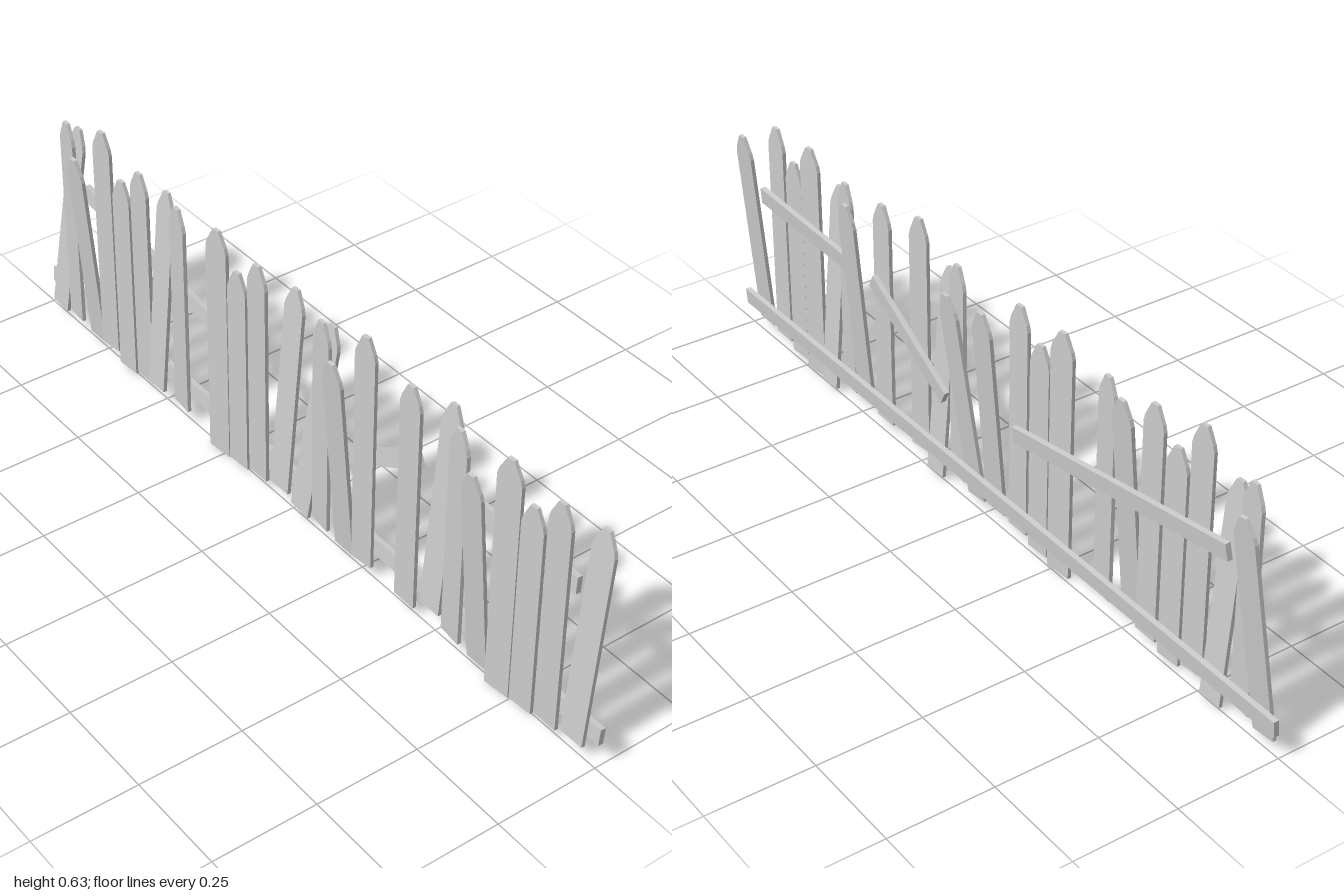
import * as THREE from 'three';

const wood = new THREE.MeshStandardMaterial({ color: 0xcccccc, flatShading: true });
const THICK = 0.009;

// Pointed picket outline, standing on its own base
function picketGeometry(width, height) {
  const h = width / 2, tip = 0.009;
  const outline = [
    [-h, 0], [h, 0], [h, height - 0.052], [h * 0.86, height - 0.036],
    [tip, height], [-tip, height], [-h * 0.86, height - 0.036], [-h, height - 0.052],
  ].map(([x, y]) => new THREE.Vector2(x, y));
  const geometry = new THREE.ExtrudeGeometry(new THREE.Shape(outline), { depth: THICK, bevelEnabled: false });
  return geometry.translate(0, 0, -THICK / 2);
}

// Rail running between two points, just behind the pickets
function makeRail(name, x0, y0, x1, y1) {
  const length = Math.hypot(x1 - x0, y1 - y0);
  const rail = new THREE.Mesh(new THREE.BoxGeometry(length, 0.04, 0.013), wood);
  rail.name = name;
  rail.position.set((x0 + x1) / 2, (y0 + y1) / 2, -0.011);
  rail.rotation.order = 'ZYX';
  rail.rotation.set(-0.08, 0, Math.atan2(y1 - y0, x1 - x0));
  return rail;
}

// Picket types: [width, bottom, top, base z, tilt forward, twist, lean]
const types = {
  slanted: [0.062, 0.022, 0.54, 0.008, -0.09, 0, -0.1],
  left: [0.062, 0.035, 0.58, 0.009, 0, -0.1, 0],
  forward: [0.062, 0.01, 0.532, -0.003, 0.085, 0, 0],
  tall: [0.06, 0.03, 0.628, 0.009, 0, 0.1, 0],
  short: [0.062, 0.01, 0.535, 0.009, 0, 0.06, 0],
  plain: [0.064, 0.025, 0.594, 0.009, 0, 0, 0],
  kicked: [0.062, 0.055, 0.575, 0.029, -0.087, 0, 0],
  back: [0.062, 0.055, 0.575, 0.004, -0.083, 0, 0],
  wide: [0.068, 0, 0.604, 0.009, 0, 0.08, 0],
  endBack: [0.064, 0.035, 0.557, 0.005, -0.085, 0, 0],
};

// Pickets from the right-hand end to the left-hand end, with gaps
const layout = [
  ['slanted', -0.947], ['left', -0.87], ['forward', -0.795], ['tall', -0.72],
  ['short', -0.645], ['plain', -0.57], ['kicked', -0.495], ['left', -0.42],
  ['wide', -0.267], ['short', -0.192], ['plain', -0.118], ['endBack', -0.043],
  ['slanted', 0.036], ['left', 0.112], ['forward', 0.185], ['tall', 0.26],
  ['plain', 0.408], ['back', 0.485], ['left', 0.56], ['forward', 0.635],
  ['wide', 0.712], ['short', 0.785], ['plain', 0.86], ['endBack', 0.935],
];

export function createModel() {
  const fence = new THREE.Group();
  fence.name = 'picketFence';

  // Pickets
  const pickets = new THREE.Group();
  pickets.name = 'pickets';
  layout.forEach(([type, x], i) => {
    const [width, bottom, top, z, tilt, twist, lean] = types[type];
    const picket = new THREE.Mesh(picketGeometry(width, top - bottom), wood);
    picket.name = `picket${i + 1}`;
    picket.position.set(x, bottom, z);
    picket.rotation.set(tilt, twist, lean);
    pickets.add(picket);
  });
  fence.add(pickets);

  // One long lower rail and three broken upper rails
  fence.add(
    makeRail('lowerRail', -1, 0.08, 1, 0.08),
    makeRail('upperRailRight', -0.83, 0.403, -0.13, 0.288),
    makeRail('upperRailMiddle', 0.135, 0.238, 0.42, 0.402),
    makeRail('upperRailLeft', 0.51, 0.395, 0.9, 0.406),
  );
  return fence;
}
